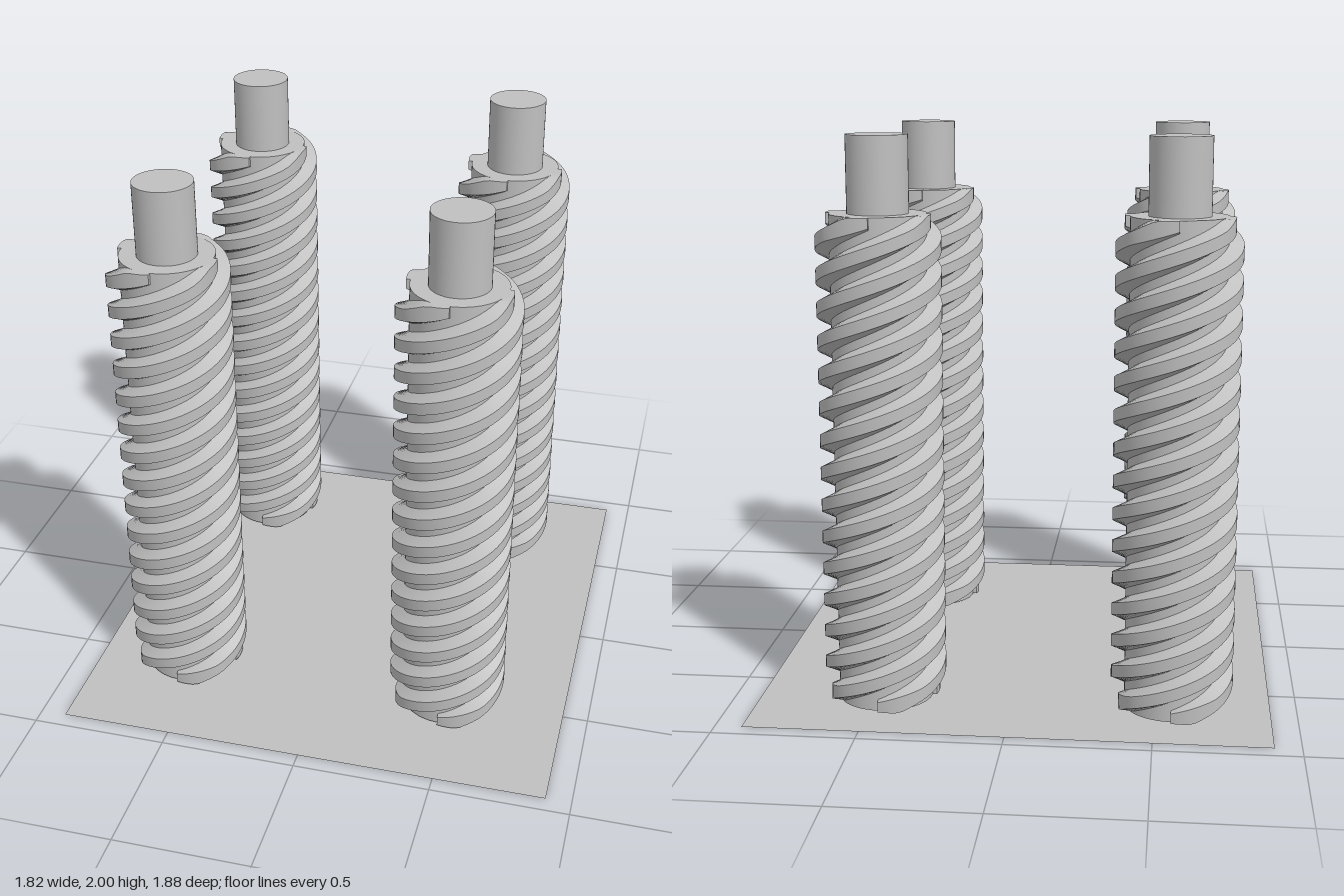
import * as THREE from 'three';

const BOTTOM = 0.01, TOP = 1.735, STARTS = 4, TURNS = 3.75;
const CORE_R = 0.167, CREST_R = 0.215, END_R = 0.182, SHAFT_R = 0.106;
const ROOT_HALF = 0.042, CREST_HALF = 0.022;

// One helical thread: trapezoid section swept up the core, with the crest run out at both ends
function threadGeometry(startAngle) {
  const steps = Math.round(TURNS * 56), total = TURNS * Math.PI * 2, taper = Math.PI / 3.8;
  const positions = [], indices = [];
  const corner = (i, k) => {
    const t = (i / steps) * total;
    const run = Math.min(1, Math.min(t, total - t) / taper);
    const crest = END_R + (CREST_R - END_R) * run;
    const grow = (crest - CORE_R) / (CREST_R - CORE_R);
    const half = ROOT_HALF + (CREST_HALF - ROOT_HALF) * grow;
    const [r, dy] = [[CORE_R - 0.008, -ROOT_HALF - 0.003], [crest, -half],
      [crest, half], [CORE_R - 0.008, ROOT_HALF + 0.003]][k];
    const y = THREE.MathUtils.clamp(BOTTOM + (i / steps) * (TOP - BOTTOM) + dy, BOTTOM, TOP);
    const a = startAngle + t;
    return [r * Math.sin(a), y, r * Math.cos(a)];
  };
  // Lower flank, crest and upper flank keep separate vertices so their edges stay sharp
  for (let k = 0; k < 3; k++) {
    const base = positions.length / 3;
    for (let i = 0; i <= steps; i++) positions.push(...corner(i, k), ...corner(i, k + 1));
    for (let i = 0; i < steps; i++) {
      const a = base + i * 2;
      indices.push(a, a + 2, a + 1, a + 1, a + 2, a + 3);
    }
  }
  // Radial end faces
  for (const i of [0, steps]) {
    const b = positions.length / 3;
    for (let k = 0; k < 4; k++) positions.push(...corner(i, k));
    if (i === 0) indices.push(b, b + 1, b + 2, b, b + 2, b + 3);
    else indices.push(b, b + 2, b + 1, b, b + 3, b + 2);
  }
  const g = new THREE.BufferGeometry();
  g.setAttribute('position', new THREE.Float32BufferAttribute(positions, 3));
  g.setIndex(indices);
  g.computeVertexNormals();
  return g;
}

function mesh(name, geometry, material, y = 0) {
  const m = new THREE.Mesh(geometry, material);
  m.name = name;
  m.position.y = y;
  return m;
}

export function createModel() {
  const model = new THREE.Group();
  model.name = 'screwSet';
  const grey = new THREE.MeshStandardMaterial({ color: 0xc0c0c0, side: THREE.DoubleSide });
  grey.name = 'plain grey';

  // Thin ground sheet
  const sheet = new THREE.PlaneGeometry(1.815, 1.885).rotateX(-Math.PI / 2);
  model.add(mesh('baseSheet', sheet, grey));

  // Shared screw geometries
  const core = new THREE.CylinderGeometry(CORE_R, CORE_R, TOP - BOTTOM, 64);
  const shaft = new THREE.CylinderGeometry(SHAFT_R, SHAFT_R, 2 - TOP, 48);
  const threads = [];
  for (let i = 0; i < STARTS; i++) threads.push(threadGeometry((i / STARTS) * Math.PI * 2));

  // Four identical screws
  for (const x of [-0.56, 0.46]) {
    for (const z of [-0.617, 0.488]) {
      const screw = new THREE.Group();
      screw.name = 'screw';
      screw.add(mesh('core', core, grey, (TOP + BOTTOM) / 2));
      screw.add(mesh('shaft', shaft, grey, (TOP + 2) / 2));
      for (const t of threads) screw.add(mesh('thread', t, grey));
      screw.position.set(x, 0, z);
      model.add(screw);
    }
  }
  return model;
}
